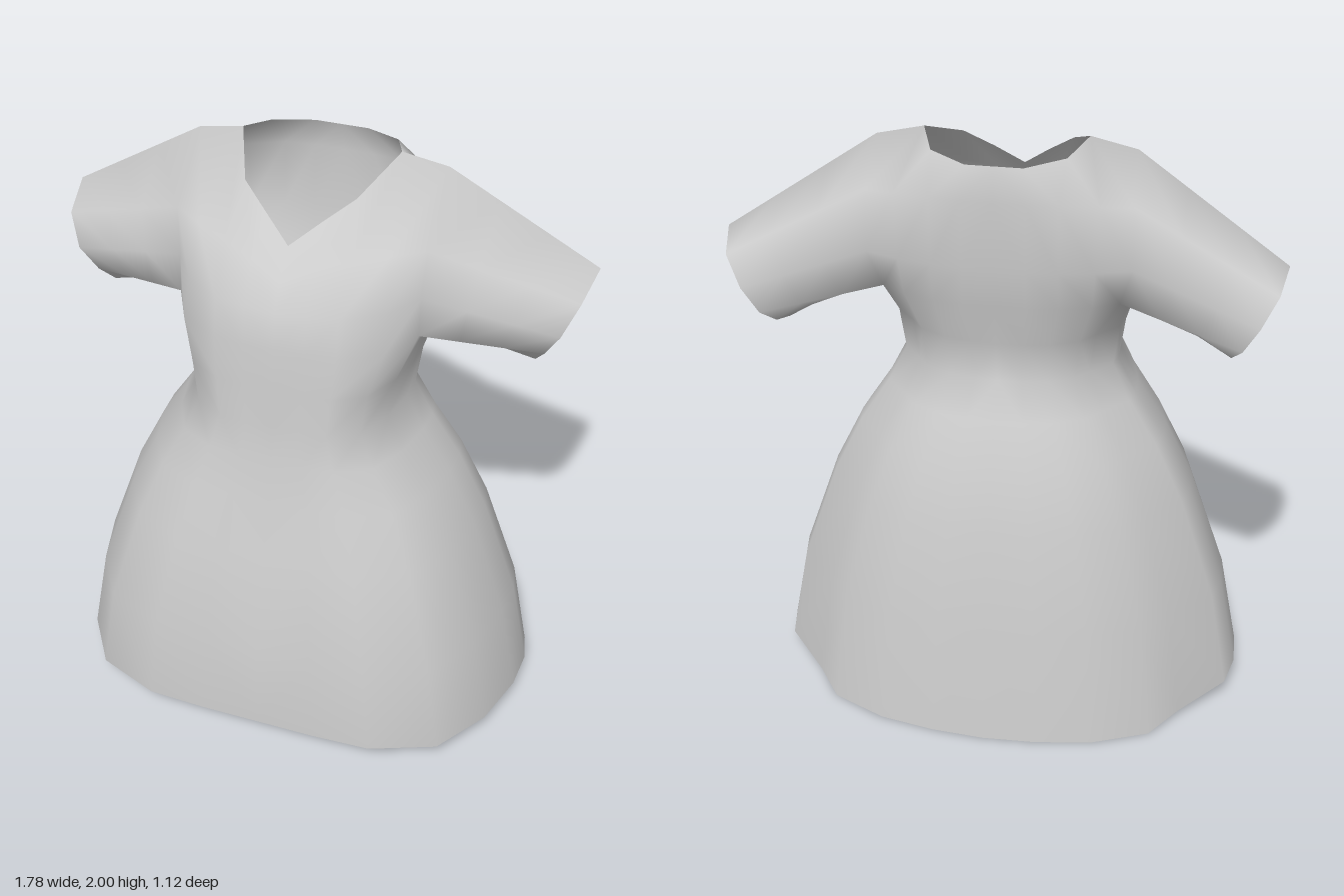
import * as THREE from 'three';

// Half cross-section from centre front round the side to centre back (unit x, unit z)
const SECTION = [
  [0, 1], [0.25, 1], [0.5, 0.985], [0.77, 0.83], [0.92, 0.5], [0.99, 0.15], [1, -0.1],
  [0.97, -0.3], [0.79, -0.57], [0.68, -0.77], [0.45, -0.92], [0.22, -0.98], [0, -1],
];

// Rings from hem to ribs: height, half width, front depth, back depth
const RINGS = [
  [0, 0.81, 0.56, 0.56], [0.4, 0.745, 0.545, 0.515], [0.75, 0.62, 0.468, 0.45],
  [0.95, 0.52, 0.412, 0.39], [1.1, 0.42, 0.385, 0.33], [1.22, 0.358, 0.365, 0.27],
  [1.36, 0.378, 0.358, 0.29],
];
const WAIST = 5;

// Underarm ring (x, z) at one height
const UNDERARM = [
  [0, 0.345], [0.1, 0.345], [0.2, 0.33], [0.33, 0.26], [0.4, 0.12], [0.41, 0.03], [0.42, -0.06],
  [0.41, -0.14], [0.38, -0.22], [0.3, -0.27], [0.2, -0.3], [0.1, -0.32], [0, -0.32],
].map(([x, z]) => [x, 1.5, z]);

// Chest panel, centre to armhole, rising to the V neck and shoulder
const CHEST = [
  UNDERARM.slice(0, 5),
  [[0, 1.62, 0.327], [0.1, 1.63, 0.325], [0.2, 1.63, 0.31], [0.32, 1.63, 0.23], [0.4, 1.63, 0.11]],
  [[0, 1.71, 0.278], [0.1, 1.75, 0.25], [0.2, 1.78, 0.215], [0.31, 1.79, 0.16], [0.41, 1.79, 0.09]],
  [[0, 1.79, 0.2], [0.09, 1.86, 0.145], [0.18, 1.925, 0.085], [0.26, 2, -0.11], [0.41, 1.97, -0.12]],
];

// Back panel, armhole to centre, rising to the shoulder and back neck
const BACK = [
  UNDERARM.slice(8),
  [[0.42, 1.63, -0.26], [0.31, 1.63, -0.3], [0.2, 1.63, -0.325], [0.1, 1.63, -0.333], [0, 1.63, -0.335]],
  [[0.42, 1.83, -0.25], [0.32, 1.84, -0.29], [0.2, 1.85, -0.33], [0.1, 1.85, -0.34], [0, 1.85, -0.342]],
  [[0.41, 1.97, -0.12], [0.26, 2, -0.11], [0.21, 1.97, -0.24], [0.09, 1.955, -0.31], [0, 1.955, -0.31]],
];

// Sleeve opening, in the same order as the armhole loop
const CUFF = [
  [0.77, 1.42, -0.03], [0.82, 1.51, 0], [0.865, 1.61, -0.05], [0.89, 1.66, -0.2], [0.87, 1.6, -0.3],
  [0.82, 1.5, -0.33], [0.77, 1.41, -0.31], [0.735, 1.36, -0.25], [0.72, 1.335, -0.16], [0.735, 1.36, -0.08],
];

function ringPoints([y, w, front, back]) {
  return SECTION.map(([sx, sz]) => {
    const z = sz * (sz > 0 ? front : back);
    // The hem drops towards the back
    const drop = y === 0 ? 0.07 * THREE.MathUtils.clamp((z + 0.43) / 0.33, 0, 1) : 0;
    return [sx * w, y + drop, z];
  });
}

export function createModel() {
  const group = new THREE.Group();
  group.name = 'dress';
  const cloth = new THREE.MeshStandardMaterial({ color: 0xcccccc, side: THREE.DoubleSide });
  cloth.name = 'light grey cloth';

  // All pieces share one vertex pool so shading runs smoothly over the seams
  const positions = [];
  const pool = new Map();
  const vertex = (p, side) => {
    const q = [p[0] * side, p[1], p[2]];
    const key = q.map((v) => Math.round(v * 1000)).join();
    if (!pool.has(key)) {
      pool.set(key, positions.length / 3);
      positions.push(...q);
    }
    return pool.get(key);
  };

  // Joins stacked rows of points into quads on one side of the body
  const loft = (rows, side, out) => {
    for (let r = 0; r + 1 < rows.length; r++) {
      for (let c = 0; c + 1 < rows[r].length; c++) {
        const [a, b, d, e] = [rows[r][c], rows[r][c + 1], rows[r + 1][c + 1], rows[r + 1][c]]
          .map((p) => vertex(p, side));
        if (side > 0) out.push(a, b, d, a, d, e);
        else out.push(a, d, b, a, e, d);
      }
    }
  };

  const rings = RINGS.map(ringPoints);
  const armhole = [
    CHEST[0][4], CHEST[1][4], CHEST[2][4], CHEST[3][4], BACK[2][0], BACK[1][0],
    BACK[0][0], UNDERARM[7], UNDERARM[6], UNDERARM[5],
  ];
  const sleeveRows = [1, 0.66, 0.33, 0].map((t) => {
    const row = armhole.map((p, i) => p.map((v, k) => v + (CUFF[i][k] - v) * t));
    return [...row, row[0]];
  }).reverse();

  const parts = { skirt: [], bodice: [], leftSleeve: [], rightSleeve: [] };
  for (const side of [1, -1]) {
    loft(rings.slice(0, WAIST + 1), side, parts.skirt);
    loft([...rings.slice(WAIST), UNDERARM], side, parts.bodice);
    loft(CHEST, side, parts.bodice);
    loft(BACK, side, parts.bodice);
    // The armhole runs up the front, so rows and side are swapped to face outwards
    const sleeve = [];
    loft(sleeveRows, side, sleeve);
    parts[side > 0 ? 'leftSleeve' : 'rightSleeve'] = sleeve.reverse();
  }

  // Normals come from the whole garment, then each part takes its own faces
  const whole = new THREE.BufferGeometry();
  whole.setAttribute('position', new THREE.Float32BufferAttribute(positions, 3));
  whole.setIndex(Object.values(parts).flat());
  whole.computeVertexNormals();
  for (const [name, index] of Object.entries(parts)) {
    const geometry = new THREE.BufferGeometry();
    geometry.setAttribute('position', whole.getAttribute('position'));
    geometry.setAttribute('normal', whole.getAttribute('normal'));
    geometry.setIndex(index);
    const mesh = new THREE.Mesh(geometry, cloth);
    mesh.name = name;
    group.add(mesh);
  }
  return group;
}
